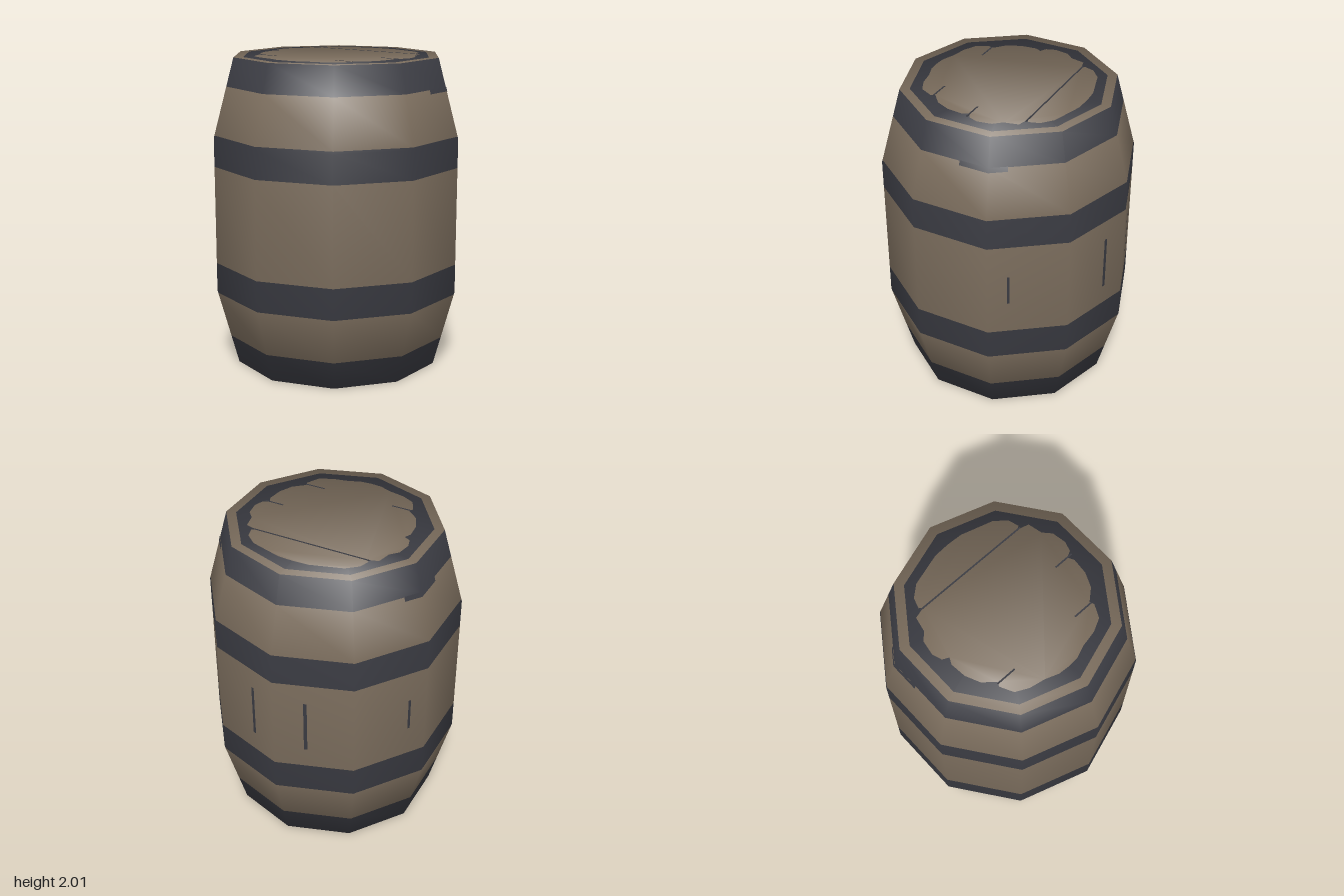
import * as THREE from 'three';

const SIDES = 10;
const STEP = (Math.PI * 2) / SIDES;

// Barrel wall: [radius, y, normal outward, normal up], smooth over the rims
const WALL = [
  [0.67, 0, 0.72, -0.7],
  [0.805, 0.5, 0.99, -0.13],
  [0.805, 1.5, 0.99, 0.13],
  [0.67, 2, 0.72, 0.7],
];

// Row of the wall at height y, interpolated between the rows above
function wallAt(y) {
  const k = y <= 0.5 ? 0 : y <= 1.5 ? 1 : 2;
  const a = WALL[k], b = WALL[k + 1];
  const t = (y - a[1]) / (b[1] - a[1]);
  return a.map((v, i) => v + (b[i] - v) * t);
}

// Row of the flat end, its normals fanning out towards the rim
const endAt = r => [r, 0, 0.72 * r / 0.67, 0.7];

// Ten-sided ring surface with chosen normals for each profile row
function ring(rows) {
  const geo = new THREE.LatheGeometry(rows.map(r => new THREE.Vector2(r[0], r[1])), SIDES);
  const n = geo.attributes.normal;
  for (let i = 0; i <= SIDES; i++) {
    rows.forEach((r, j) => {
      const v = new THREE.Vector3(r[2] * Math.sin(i * STEP), r[3], r[2] * Math.cos(i * STEP)).normalize();
      n.setXYZ(i * rows.length + j, v.x, v.y, v.z);
    });
  }
  return geo;
}

// Thin patch lying on the faceted wall between two angles (degrees) and heights
function wallPatch(deg0, deg1, y0, y1) {
  const angles = [deg0];
  for (let d = 0; d < 360; d += 36) if (d > deg0 && d < deg1) angles.push(d);
  angles.push(deg1);
  const pos = [], nor = [], index = [];
  angles.forEach((deg, i) => {
    const a = THREE.MathUtils.degToRad(deg);
    const stretch = Math.cos(STEP / 2) / Math.cos((a % STEP) - STEP / 2);
    for (const y of [y0, y1]) {
      const w = wallAt(y);
      const r = w[0] * stretch + 0.003;
      pos.push(r * Math.sin(a), y, r * Math.cos(a));
      nor.push(w[2] * Math.sin(a), w[3], w[2] * Math.cos(a));
    }
    if (i) {
      const k = i * 2;
      index.push(k - 2, k, k - 1, k, k + 1, k - 1);
    }
  });
  const geo = new THREE.BufferGeometry();
  geo.setAttribute('position', new THREE.Float32BufferAttribute(pos, 3));
  geo.setAttribute('normal', new THREE.Float32BufferAttribute(nor, 3));
  geo.setIndex(index);
  return geo;
}

// Worn wooden face of an end, pinched where the boards meet
function boardsGeometry() {
  const half = [
    [0, 0.515], [0.1, 0.51], [0.2, 0.48], [0.3, 0.45], [0.37, 0.39], [0.39, 0.325],
    [0.37, 0.31], [0.44, 0.29], [0.46, 0.2], [0.505, 0.15], [0.52, 0.06], [0.5, 0.0],
    [0.46, -0.02], [0.48, -0.06], [0.47, -0.16], [0.43, -0.25], [0.36, -0.31], [0.37, -0.34],
    [0.33, -0.42], [0.25, -0.46], [0.15, -0.48], [0.07, -0.51], [0, -0.515],
  ].map(p => new THREE.Vector2(p[0], p[1]));
  const mirrored = half.slice(1, -1).reverse().map(p => new THREE.Vector2(-p.x, p.y));
  const geo = new THREE.ShapeGeometry(new THREE.Shape([...half, ...mirrored]));
  geo.rotateX(-Math.PI / 2);
  const p = geo.attributes.position;
  for (let i = 0; i < p.count; i++) {
    const v = new THREE.Vector3(p.getX(i) * 0.72 / 0.67, 0.7, p.getZ(i) * 0.72 / 0.67).normalize();
    geo.attributes.normal.setXYZ(i, v.x, v.y, v.z);
  }
  return geo;
}

export function createModel() {
  const model = new THREE.Group();
  model.name = 'barrel';
  const wood = new THREE.MeshStandardMaterial({ color: 0x7a6c5c });
  wood.name = 'weathered wood';
  const iron = new THREE.MeshStandardMaterial({ color: 0x393a41 });
  iron.name = 'dark iron';

  const add = (parent, name, geo, mat) => {
    const mesh = new THREE.Mesh(geo, mat);
    mesh.name = name;
    parent.add(mesh);
    return mesh;
  };

  // Staves and iron hoops, alternating up the wall
  const cuts = [0, 0.185, 0.485, 0.685, 1.315, 1.515, 1.82, 2];
  for (let i = 0; i < cuts.length - 1; i++) {
    const [lo, hi] = [cuts[i], cuts[i + 1]];
    const heights = [lo, ...[0.5, 1.5].filter(y => y > lo && y < hi), hi];
    const isHoop = i % 2 === 0;
    add(model, isHoop ? 'hoop' : 'staves', ring(heights.map(wallAt)), isHoop ? iron : wood);
  }

  // Flat end: wooden rim, iron border and worn boards
  function makeEnd(name) {
    const end = new THREE.Group();
    end.name = name;
    add(end, 'rim', ring([endAt(0.67), endAt(0.608)]), wood);
    add(end, 'endBorder', ring([endAt(0.608), endAt(0)]), iron);
    add(end, 'endBoards', boardsGeometry(), wood).position.y = 0.002;
    model.add(end);
    return end;
  }
  const top = makeEnd('topEnd');
  top.position.y = 2;
  makeEnd('bottomEnd').rotation.x = Math.PI;

  // Hairline gaps between the top boards: [centre x, z, length]
  for (const [x, z, length] of [[0, -0.31, 0.78], [0.43, 0.02, 0.13], [0.3, 0.32, 0.13], [-0.3, 0.32, 0.13]]) {
    add(top, 'boardGap', new THREE.BoxGeometry(length, 0.002, 0.01), iron).position.set(x, 0.002, z);
  }

  // Cracks in the rear staves: [angle, height, half width in degrees]
  for (const [deg, h, w] of [[117, 0.2, 0.5], [167.5, 0.36, 0.8], [194.3, 0.36, 0.8], [243.6, 0.22, 0.6]]) {
    add(model, 'staveCrack', wallPatch(deg - w, deg + w, 1 - h / 2, 1 + h / 2), iron);
  }

  // Worn lower edge of the top hoop on both flanks
  for (const deg of [93, 243]) {
    add(model, 'hoopWear', wallPatch(deg, deg + 24, 1.795, 1.825), iron);
  }
  return model;
}
